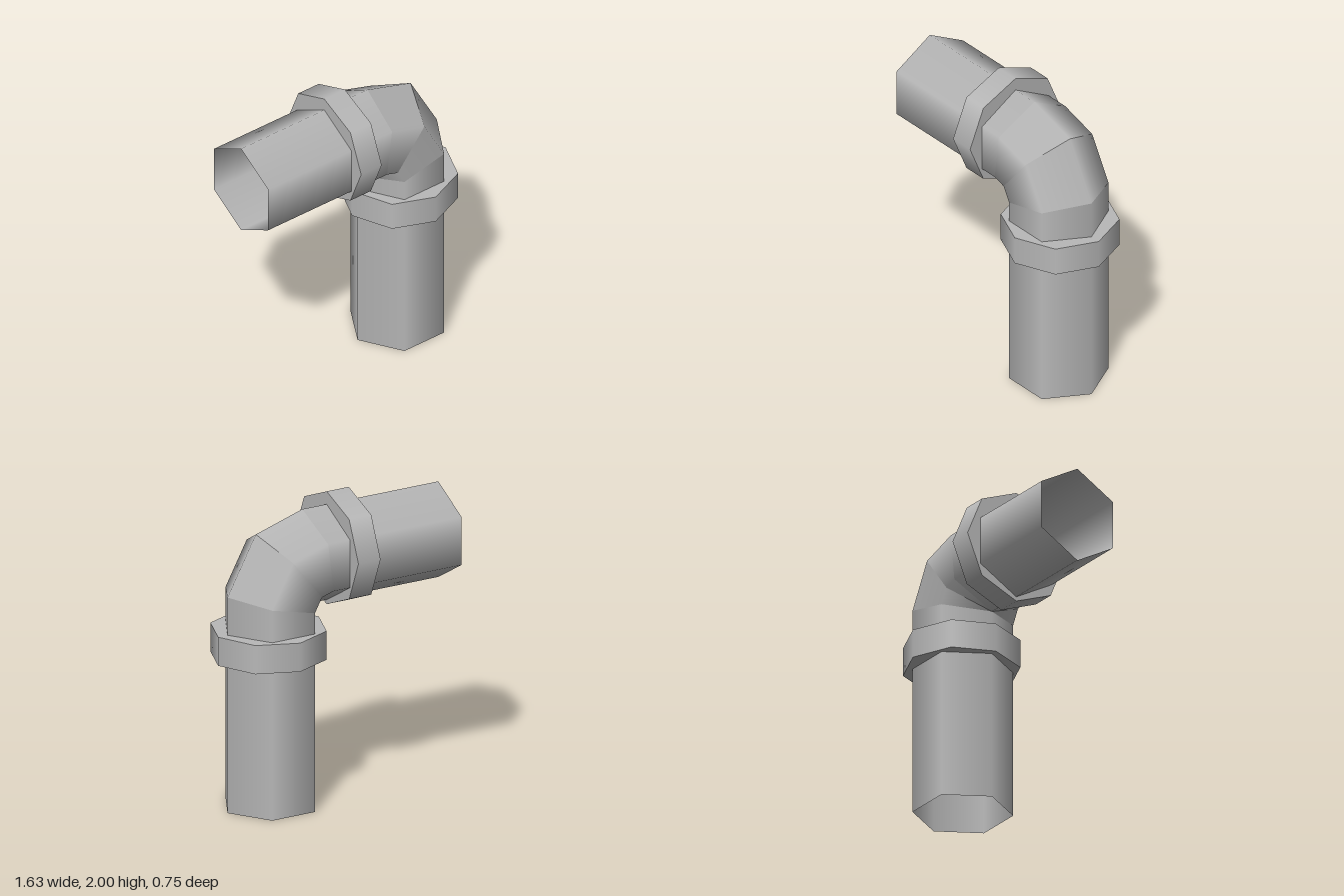
import * as THREE from 'three';

const SIDES = 6;
const PIPE_Z = 0.317; // half depth before the hexagon's sine factor

// One hollow hexagonal pipe piece between two cuts; a cut is [outerX, outerY, innerX, innerY]
function pipePiece(cutA, cutB) {
  const rings = [cutA, cutB].map(([ox, oy, ix, iy]) => ({
    centre: new THREE.Vector3((ox + ix) / 2, (oy + iy) / 2, 0),
    out: new THREE.Vector3((ox - ix) / 2, (oy - iy) / 2, 0),
  }));
  const axis = rings[1].centre.clone().sub(rings[0].centre).normalize();
  const positions = [], normals = [], index = [];
  for (const { centre, out } of rings) {
    const radial = out.clone().addScaledVector(axis, -out.dot(axis)).normalize();
    for (let i = 0; i < SIDES; i++) {
      const a = (i / SIDES) * Math.PI * 2, c = Math.cos(a), s = Math.sin(a);
      positions.push(centre.x + out.x * c, centre.y + out.y * c, PIPE_Z * s);
      normals.push(radial.x * c, radial.y * c, s);
    }
  }
  for (let i = 0; i < SIDES; i++) {
    const j = (i + 1) % SIDES;
    index.push(i, j, SIDES + j, i, SIDES + j, SIDES + i);
  }
  const geometry = new THREE.BufferGeometry();
  geometry.setAttribute('position', new THREE.Float32BufferAttribute(positions, 3));
  geometry.setAttribute('normal', new THREE.Float32BufferAttribute(normals, 3));
  geometry.setIndex(index);
  return geometry;
}

function polygonPoints(sides, radius, dx = 0) {
  return Array.from({ length: sides }, (_, i) => {
    const a = (i / sides) * Math.PI * 2;
    return new THREE.Vector2(dx + radius * Math.cos(a), radius * Math.sin(a));
  });
}

// Octagonal collar along y, with a hexagonal opening for the pipe
function collar(name, height, holeShift, material) {
  const group = new THREE.Group();
  group.name = name;
  const add = (part, geometry) => {
    const mesh = new THREE.Mesh(geometry, material);
    mesh.name = part;
    group.add(mesh);
  };
  add('collarBand', new THREE.CylinderGeometry(0.374, 0.374, height, 8, 1, true));
  const face = new THREE.Shape(polygonPoints(8, 0.374));
  face.holes.push(new THREE.Path(polygonPoints(SIDES, PIPE_Z, holeShift)));
  for (const side of [1, -1]) {
    add('collarFace', new THREE.ShapeGeometry(face)
      .rotateX(-side * Math.PI / 2).translate(0, side * height / 2, 0));
  }
  return group;
}

export function createModel() {
  const model = new THREE.Group();
  model.name = 'pipeElbow';
  const metal = new THREE.MeshStandardMaterial({ color: 0xb8b8b8, side: THREE.DoubleSide });
  metal.name = 'grey metal';

  // Pipe: the elbow cuts all pivot on the inside corner of the bend
  const cuts = [
    [-0.82, 1.915, -0.82, 1.281],
    [0.19, 1.915, 0.111, 1.281],
    [0.535, 1.81, 0.111, 1.281],
    [0.745, 1.43, 0.111, 1.281],
    [0.745, 0, 0.111, 0],
  ];
  const names = ['horizontalPipe', 'upperElbow', 'lowerElbow', 'verticalPipe'];
  names.forEach((name, i) => {
    const mesh = new THREE.Mesh(pipePiece(cuts[i], cuts[i + 1]), metal);
    mesh.name = name;
    model.add(mesh);
  });

  // Collars
  const lower = collar('verticalCollar', 0.19, -0.013, metal);
  lower.position.set(0.441, 1.085, 0);
  const upper = collar('horizontalCollar', 0.164, -0.028, metal);
  upper.rotation.z = Math.PI / 2;
  upper.position.set(-0.073, 1.626, 0);
  model.add(lower, upper);
  return model;
}
